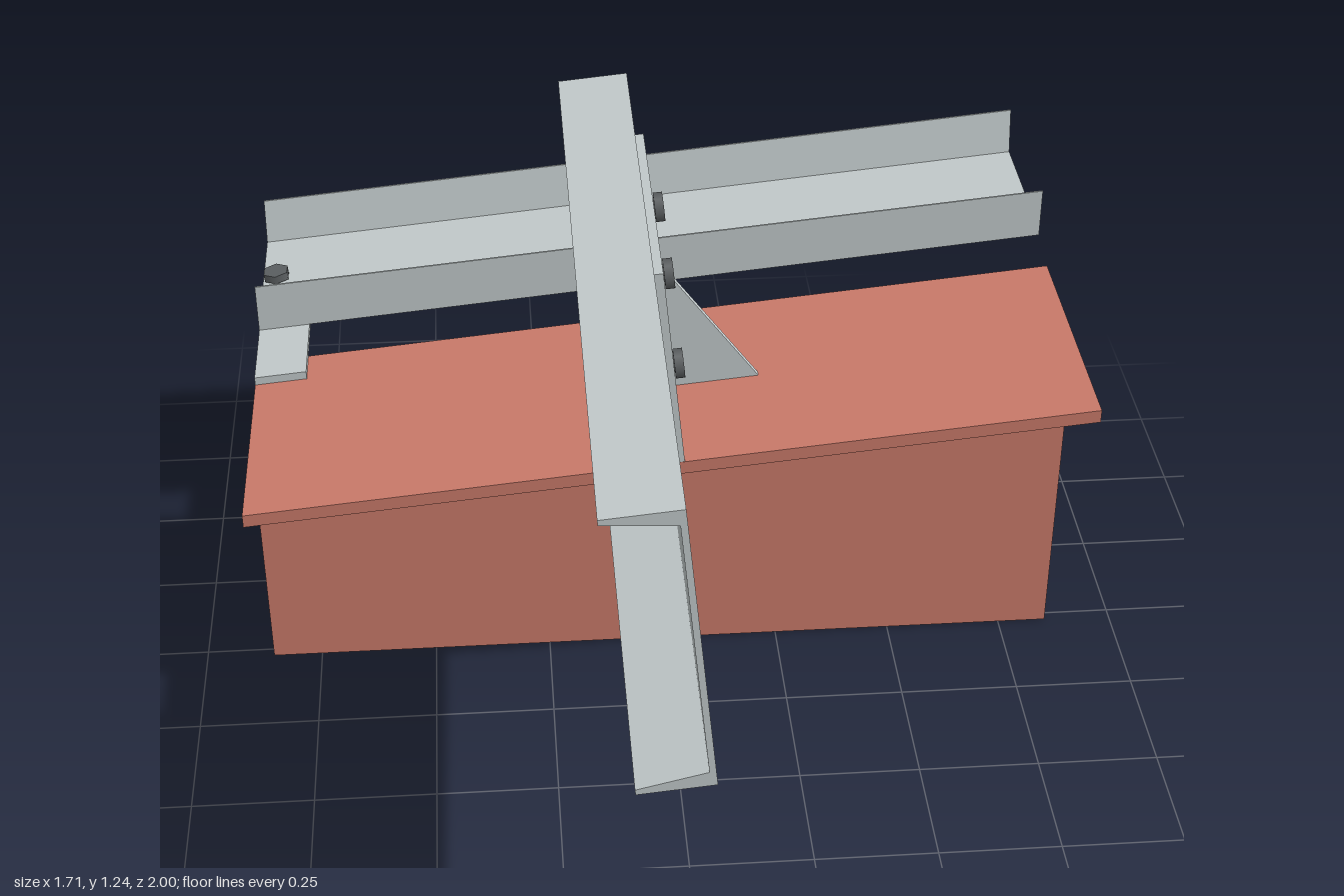
import * as THREE from 'three';

const SLOPE = 0.0968;               // roof pitch, rise per unit of x
const ANGLE = Math.atan(SLOPE);
const HALF = 0.855;                 // half length of the sloped members

const red = new THREE.MeshStandardMaterial({ color: 0xcc7b6b, side: THREE.DoubleSide });
red.name = 'red primer steel';
const grey = new THREE.MeshStandardMaterial({ color: 0xc4cccd, side: THREE.DoubleSide });
grey.name = 'galvanised steel';
const dark = new THREE.MeshStandardMaterial({ color: 0x5c6062 });
dark.name = 'dark bolt steel';

function add(parent, name, geometry, material) {
  const mesh = new THREE.Mesh(geometry, material);
  mesh.name = name;
  parent.add(mesh);
  return mesh;
}

// Profile in x,y pushed along z from z0 to z1
function extrudeZ(points, z0, z1) {
  const shape = new THREE.Shape(points.map(([x, y]) => new THREE.Vector2(x, y)));
  return new THREE.ExtrudeGeometry(shape, { depth: z1 - z0, bevelEnabled: false }).translate(0, 0, z0);
}

// Profile in z,y pushed along x, then sheared to the roof pitch with upright ends
function extrudeSloped(points, x0, x1) {
  const g = extrudeZ(points.map(([z, y]) => [-z, y]), x0, x1).rotateY(Math.PI / 2);
  const shear = new THREE.Matrix4().set(1, 0, 0, 0, SLOPE, 1, 0, 0, 0, 0, 1, 0, 0, 0, 0, 1);
  return g.applyMatrix4(shear);
}

// Channel section: back on a = 0, tapered flanges reaching to a = -reach, b from 0 to depth
function channel(reach, depth, web, tip, root) {
  return [[0, 0], [0, depth], [-reach, depth], [-reach, depth - tip], [-web, depth - root],
    [-web, root], [-reach, tip], [-reach, 0]];
}

// Hexagon bolt standing on y: heads outside the low..high grip
function bolt(name, low, high, head, gap) {
  const g = new THREE.Group();
  g.name = name;
  const hex = () => new THREE.CylinderGeometry(0.03, 0.03, head, 6).toNonIndexed();
  add(g, 'boltHead', hex().translate(0, high + gap + head / 2, 0), dark);
  add(g, 'boltNut', hex().translate(0, low - gap - head / 2, 0), dark);
  const len = high - low + 2 * gap;
  add(g, 'boltShank', new THREE.CylinderGeometry(0.016, 0.016, len, 12).translate(0, (low + high) / 2, 0), dark);
  return g;
}

export function createModel() {
  const model = new THREE.Group();
  model.name = 'roofBeamConnection';

  // Red T-shaped rafter
  const mid = -0.233;
  const rafter = new THREE.Group();
  rafter.name = 'rafter';
  model.add(rafter);
  add(rafter, 'rafterFlange',
    extrudeSloped([[0.05, 0.635], [0.05, 0.663], [-0.515, 0.663], [-0.515, 0.635]], -HALF, HALF), red);
  add(rafter, 'rafterWeb', extrudeZ([[-HALF, 0], [HALF, 0],
    [HALF, 0.636 + SLOPE * HALF], [-HALF, 0.636 - SLOPE * HALF]], mid - 0.005, mid + 0.005), red);

  // Parts standing square on the slope
  const stand = new THREE.Group();
  stand.name = 'purlinAssembly';
  stand.position.set(0.005, 0.664, 0);
  stand.rotation.z = ANGLE;
  model.add(stand);
  add(stand, 'purlin', extrudeZ(channel(0.14, 0.578, 0.012, 0.011, 0.03), -0.515, 1), grey);
  add(stand, 'cleatPlate', extrudeZ([[0, 0], [0.02, 0], [0.02, 0.436], [0, 0.436]], -0.515, 0.05), grey);
  add(stand, 'gusset', extrudeZ([[0.02, 0], [0.195, 0], [0.02, 0.29]], mid - 0.007, mid + 0.007), grey);
  for (const z of [-0.1, -0.365]) {
    for (const y of [0.135, 0.345]) {
      const b = bolt('cleatBolt', -0.012, 0.02, 0.019, 0.003);
      b.rotation.z = -Math.PI / 2;
      b.position.set(0, y, z);
      stand.add(b);
    }
  }

  // Upturned channel running beside the rafter
  add(model, 'eavesChannel', extrudeSloped([[-0.615, 0.682], [-0.615, 0.791], [-0.619, 0.791],
    [-0.637, 0.694], [-0.978, 0.694], [-0.996, 0.791], [-1, 0.791], [-1, 0.682]], -HALF, HALF), grey);

  // Flat strap between rafter and channel, with its bolt
  add(model, 'strap', extrudeSloped([[-0.425, 0.663], [-0.425, 0.681], [-0.985, 0.681], [-0.985, 0.663]],
    -HALF, -0.745), grey);
  const strapBolt = bolt('strapBolt', 0, 0.031, 0.018, 0.006);
  strapBolt.position.set(-0.82, 0.663 - SLOPE * 0.82, -0.803);
  strapBolt.rotation.z = ANGLE;
  model.add(strapBolt);

  return model;
}
